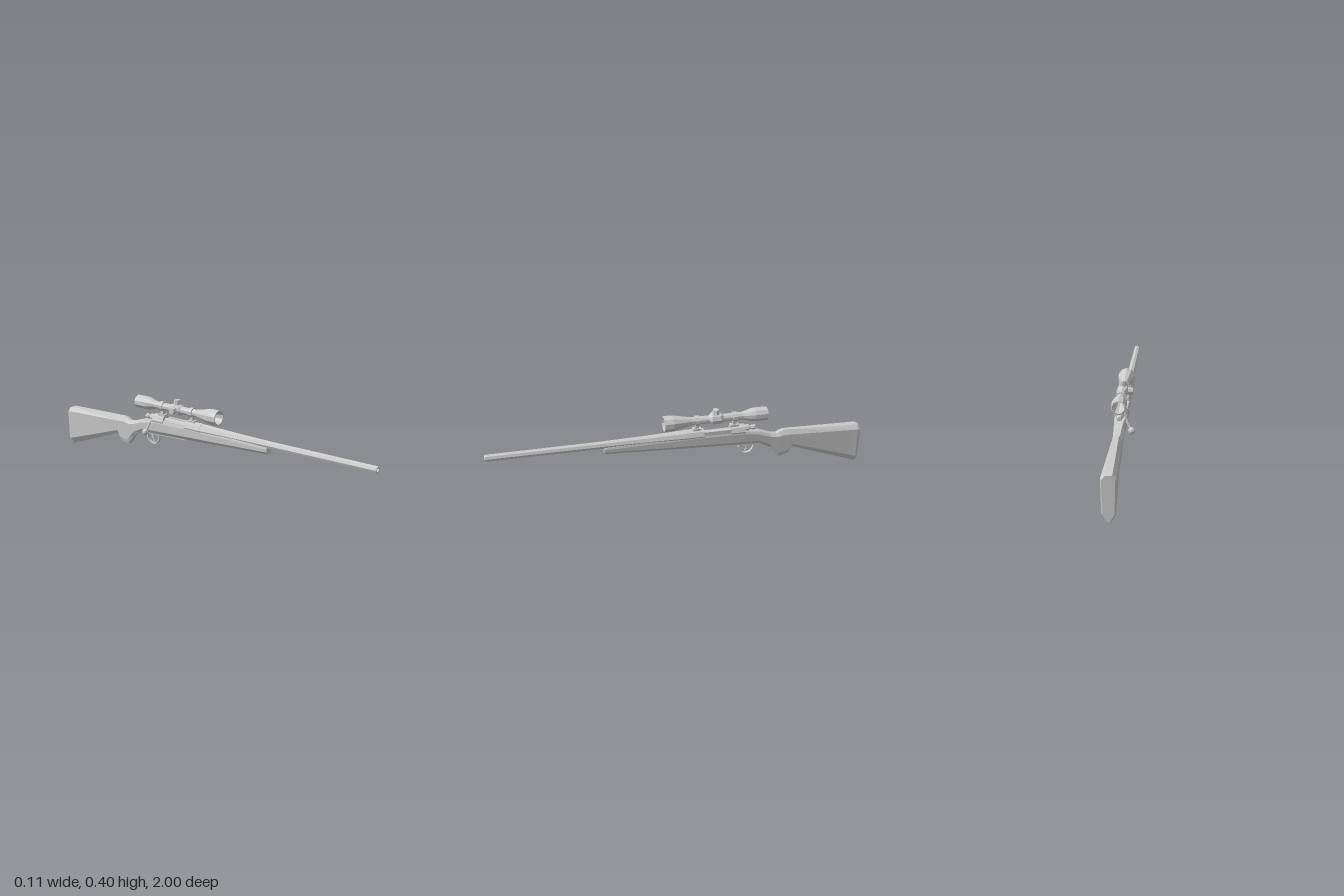
import * as THREE from 'three';

const material = new THREE.MeshStandardMaterial({ color: 0xcccccc, flatShading: true, side: THREE.DoubleSide });
const BORE_Y = 0.265, SCOPE_Y = 0.346;

function part(parent, name, geometry, x = 0, y = 0, z = 0) {
  const mesh = new THREE.Mesh(geometry, material);
  mesh.name = name;
  mesh.position.set(x, y, z);
  parent.add(mesh);
  return mesh;
}

// Turned part lying along z; profile is a list of [radius, z]
function turned(profile, sides) {
  return new THREE.LatheGeometry(profile.map(([r, z]) => new THREE.Vector2(r, z)), sides).rotateX(Math.PI / 2);
}

// Side profile in (-z, y), extruded to a width along x
function sideExtrude(shape, width) {
  return new THREE.ExtrudeGeometry(shape, { depth: width, bevelEnabled: false, curveSegments: 8 })
    .translate(0, 0, -width / 2).rotateY(Math.PI / 2);
}

// Eight-sided sections: [z, top, upper shoulder, lower shoulder, bottom, top half, upper half, lower half, bottom half]
function loft(stations) {
  const pos = [], index = [], n = 8;
  for (const [z, yt, yu, yl, yb, wt, wu, wl, wb] of stations) {
    const right = [[wb, yb], [wl, yl], [wu, yu], [wt, yt]];
    const left = right.map(([x, y]) => [-x, y]).reverse();
    for (const [x, y] of [...right, ...left]) pos.push(x, y, z);
  }
  for (let i = 0; i < stations.length - 1; i++) {
    for (let j = 0; j < n; j++) {
      const a = i * n + j, b = i * n + (j + 1) % n, c = a + n, d = b + n;
      index.push(a, c, b, b, c, d);
    }
  }
  const last = (stations.length - 1) * n;
  for (let j = 1; j < n - 1; j++) index.push(0, j, j + 1, last, last + j + 1, last + j);
  const g = new THREE.BufferGeometry();
  g.setAttribute('position', new THREE.Float32BufferAttribute(pos, 3));
  g.setIndex(index);
  g.computeVertexNormals();
  return g;
}

function buildStock(group) {
  part(group, 'stock', loft([
    [0.40, 0.254, 0.245, 0.230, 0.218, 0.020, 0.022, 0.021, 0.012],
    [0.10, 0.264, 0.250, 0.220, 0.204, 0.024, 0.027, 0.026, 0.015],
    [-0.08, 0.270, 0.255, 0.215, 0.196, 0.027, 0.031, 0.030, 0.016],
    [-0.33, 0.268, 0.252, 0.205, 0.185, 0.027, 0.031, 0.029, 0.016],
    [-0.43, 0.250, 0.235, 0.198, 0.181, 0.018, 0.026, 0.024, 0.014],
    [-0.495, 0.228, 0.212, 0.165, 0.145, 0.012, 0.024, 0.022, 0.013],
    [-0.525, 0.224, 0.208, 0.130, 0.105, 0.011, 0.024, 0.021, 0.014],
    [-0.540, 0.231, 0.210, 0.112, 0.088, 0.011, 0.024, 0.021, 0.014],
    [-0.563, 0.240, 0.214, 0.114, 0.091, 0.011, 0.024, 0.021, 0.014],
    [-0.597, 0.240, 0.214, 0.122, 0.100, 0.011, 0.025, 0.021, 0.013],
    [-0.615, 0.239, 0.213, 0.155, 0.136, 0.012, 0.025, 0.022, 0.011],
    [-0.965, 0.227, 0.204, 0.045, 0.010, 0.018, 0.035, 0.031, 0.010],
  ]));
  part(group, 'buttPad', loft([
    [-0.965, 0.227, 0.204, 0.045, 0.010, 0.018, 0.035, 0.031, 0.010],
    [-0.985, 0.226, 0.203, 0.038, 0.000, 0.018, 0.036, 0.032, 0.010],
    [-1.000, 0.219, 0.198, 0.042, 0.007, 0.014, 0.030, 0.026, 0.007],
  ]));
  // Crossbolts through the stock
  for (const z of [-0.135, -0.34]) {
    part(group, 'crossbolt', new THREE.CylinderGeometry(0.005, 0.005, 0.064, 6).rotateZ(Math.PI / 2), 0, 0.23, z);
  }
}

function buildAction(group) {
  // Barrel with an open bore
  part(group, 'barrel', turned([
    [0.033, -0.06], [0.031, 0.0], [0.024, 0.20], [0.020, 0.42], [0.018, 0.995],
    [0.016, 1.0], [0.010, 1.0], [0.010, 0.85], [0, 0.85],
  ], 8), 0, BORE_Y);
  // Front ring and rear bridge with the open port between them
  for (const [name, z0, z1] of [['receiverRing', -0.125, -0.02], ['receiverBridge', -0.345, -0.27]]) {
    part(group, name, turned([[0, z0], [0.033, z0], [0.033, z1], [0, z1]], 8), 0, BORE_Y);
  }
  part(group, 'receiverWall', new THREE.BoxGeometry(0.012, 0.03, 0.15), 0.022, 0.27, -0.197);
  part(group, 'receiverFloor', new THREE.BoxGeometry(0.05, 0.015, 0.15), 0, 0.264, -0.197);
  part(group, 'boltBody', turned([[0, -0.36], [0.017, -0.36], [0.017, -0.12], [0, -0.12]], 8), 0, 0.268);
  part(group, 'boltShroud', turned([
    [0, -0.412], [0.009, -0.412], [0.014, -0.405], [0.014, -0.39], [0.010, -0.385],
    [0.010, -0.375], [0.019, -0.37], [0.019, -0.345], [0, -0.345],
  ], 8), 0, 0.273);
  // Bent bolt handle and knob
  const handlePath = new THREE.CatmullRomCurve3([
    new THREE.Vector3(-0.010, 0.268, -0.355),
    new THREE.Vector3(-0.028, 0.256, -0.357),
    new THREE.Vector3(-0.040, 0.230, -0.365),
    new THREE.Vector3(-0.056, 0.203, -0.372),
  ]);
  part(group, 'boltHandle', new THREE.TubeGeometry(handlePath, 6, 0.006, 6));
  part(group, 'boltKnob', new THREE.SphereGeometry(0.018, 8, 6), -0.057, 0.2, -0.373);
}

function buildTrigger(group) {
  part(group, 'floorPlate', new THREE.BoxGeometry(0.024, 0.012, 0.30).rotateX(-0.04), 0, 0.188, -0.27);
  const loop = new THREE.Shape().absellipse(0.362, 0.163, 0.044, 0.043, 0, Math.PI * 2);
  loop.holes.push(new THREE.Path().absellipse(0.362, 0.163, 0.037, 0.036, 0, Math.PI * 2, true));
  part(group, 'triggerGuard', sideExtrude(loop, 0.015));
  const trigger = new THREE.Shape();
  trigger.moveTo(0.352, 0.19);
  trigger.quadraticCurveTo(0.372, 0.16, 0.352, 0.137);
  trigger.lineTo(0.357, 0.135);
  trigger.quadraticCurveTo(0.384, 0.16, 0.368, 0.19);
  part(group, 'trigger', sideExtrude(trigger, 0.008));
}

function buildScope(group) {
  const scope = new THREE.Group();
  scope.name = 'scope';
  scope.position.y = SCOPE_Y;
  group.add(scope);
  // Hollow tube with flared eyepiece and objective bells
  part(scope, 'scopeTube', turned([
    [0.030, -0.47], [0.036, -0.468], [0.037, -0.40], [0.033, -0.38], [0.021, -0.335],
    [0.021, -0.06], [0.025, -0.04], [0.038, 0.02], [0.042, 0.04], [0.042, 0.087],
    [0.035, 0.087], [0.018, 0.01], [0.018, -0.40], [0.030, -0.47],
  ], 10));
  // Turret hub with top and side adjustment caps
  part(scope, 'turretHub', turned([
    [0.020, -0.232], [0.031, -0.215], [0.031, -0.168], [0.020, -0.152],
  ], 8));
  const cap = () => new THREE.CylinderGeometry(0.017, 0.020, 0.026, 8).translate(0, 0.039, 0);
  part(scope, 'topTurret', cap(), 0, 0, -0.191);
  part(scope, 'sideTurret', cap().rotateZ(Math.PI / 2), 0, 0, -0.191);
  // Mounting rings, posts and bases
  for (const z of [-0.09, -0.292]) {
    part(scope, 'scopeRing', turned([
      [0.020, z - 0.011], [0.027, z - 0.011], [0.027, z + 0.011], [0.020, z + 0.011],
    ], 10));
    part(scope, 'ringPost', new THREE.BoxGeometry(0.018, 0.034, 0.018), 0, -0.038, z);
    part(scope, 'ringBase', new THREE.BoxGeometry(0.028, 0.018, 0.045), 0, -0.052, z);
  }
}

export function createModel() {
  const model = new THREE.Group();
  model.name = 'scopedRifle';
  const body = new THREE.Group();
  body.name = 'rifle';
  // The bolt knob sticks out to one side, so the bore sits off centre
  body.position.x = 0.015;
  model.add(body);
  buildStock(body);
  buildAction(body);
  buildTrigger(body);
  buildScope(body);
  return model;
}
